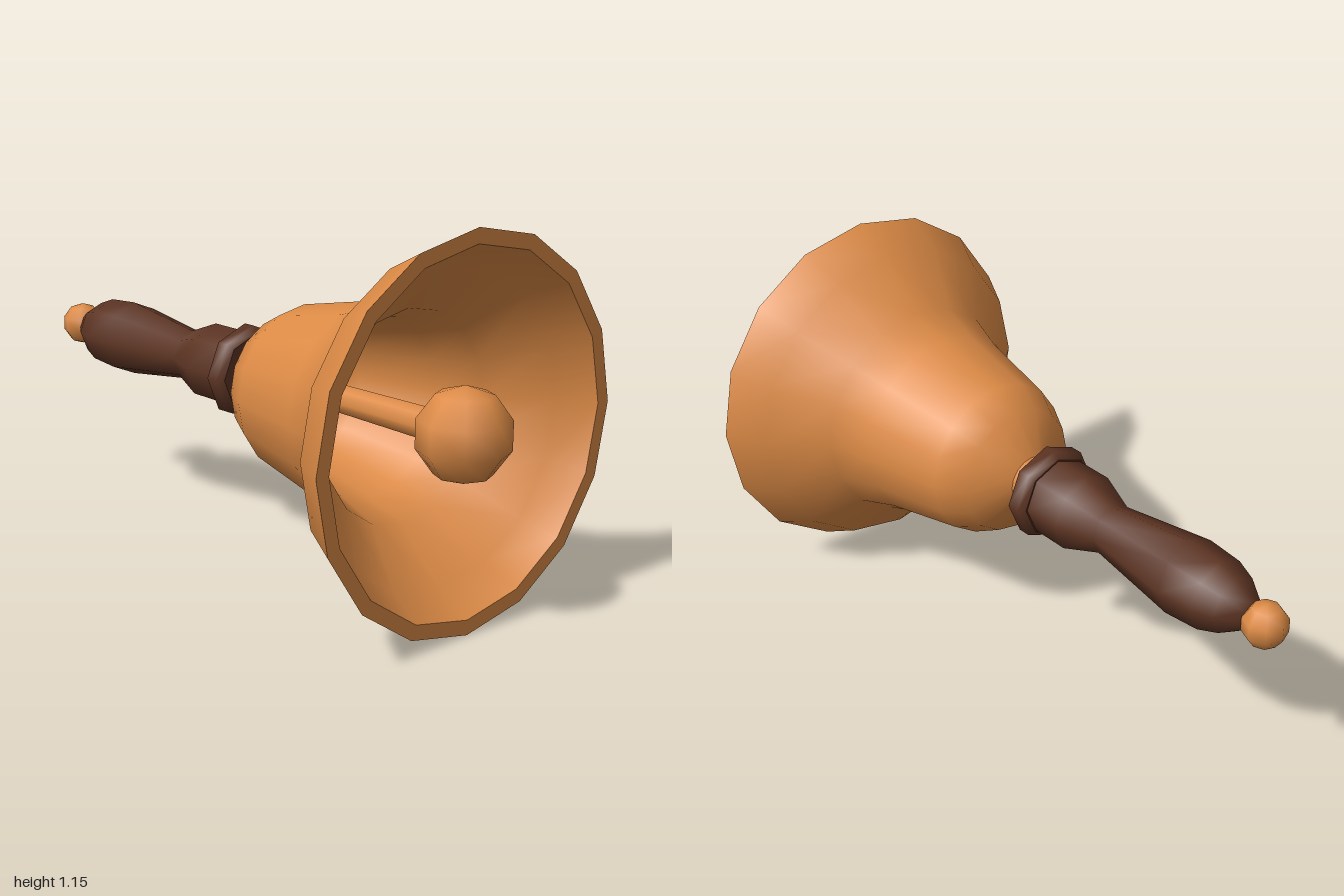
import * as THREE from 'three';

const AXIS_Y = 0.577; // height of the bell's long axis

export function createModel() {
  const model = new THREE.Group();
  model.name = 'handBell';
  const bronze = new THREE.MeshStandardMaterial({ color: 0xdd8b46 });
  bronze.name = 'bronze';
  const wood = new THREE.MeshStandardMaterial({ color: 0x5c3423 });
  wood.name = 'darkWood';

  const add = (name, geometry, material, z = 0) => {
    const mesh = new THREE.Mesh(geometry, material);
    mesh.name = name;
    mesh.position.set(0, AXIS_Y, z);
    model.add(mesh);
  };

  // Turned part around the z axis from [radius, z] pairs; increasing z faces outwards
  const turned = (name, profile, sides, material) => {
    const points = profile.map(([r, z]) => new THREE.Vector2(r, z));
    add(name, new THREE.LatheGeometry(points, sides).rotateX(Math.PI / 2), material);
  };

  // Bell: outer wall, flat lip and inner wall, separate so the lip stays crisp
  turned('bellOuter', [
    [0.08, 0.05], [0.205, 0.12], [0.255, 0.215], [0.31, 0.49],
    [0.355, 0.625], [0.507, 0.765], [0.575, 0.9],
  ], 16, bronze);
  turned('bellLip', [[0.575, 0.9], [0.53, 0.9]], 16, bronze);
  turned('bellInner', [
    [0.53, 0.9], [0.47, 0.79], [0.315, 0.645], [0.27, 0.5],
    [0.215, 0.23], [0.17, 0.15], [0.06, 0.09], [0, 0.09],
  ], 16, bronze);

  // Neck between bell and handle
  turned('neck', [[0.08, -0.02], [0.08, 0.06]], 16, bronze);

  // Clapper hanging inside the bell
  turned('clapperRod', [[0.04, 0.08], [0.05, 0.8]], 8, bronze);
  add('clapperBall', new THREE.SphereGeometry(0.14, 8, 5), bronze, 0.867);

  // Handle collar with chamfered edges and flat ends
  turned('collar', [[0.13, -0.075], [0.15, -0.058], [0.15, -0.017], [0.13, 0]], 8, wood);
  turned('collarFront', [[0.13, 0], [0, 0]], 8, wood);
  turned('collarBack', [[0, -0.075], [0.13, -0.075]], 8, wood);

  // Turned grip
  turned('grip', [
    [0, -0.885], [0.045, -0.885], [0.09, -0.82], [0.113, -0.755], [0.122, -0.635],
    [0.08, -0.32], [0.125, -0.2], [0.125, -0.07],
  ], 8, wood);

  // End ball
  add('endBall', new THREE.SphereGeometry(0.07, 8, 5), bronze, -0.9335);

  return model;
}
